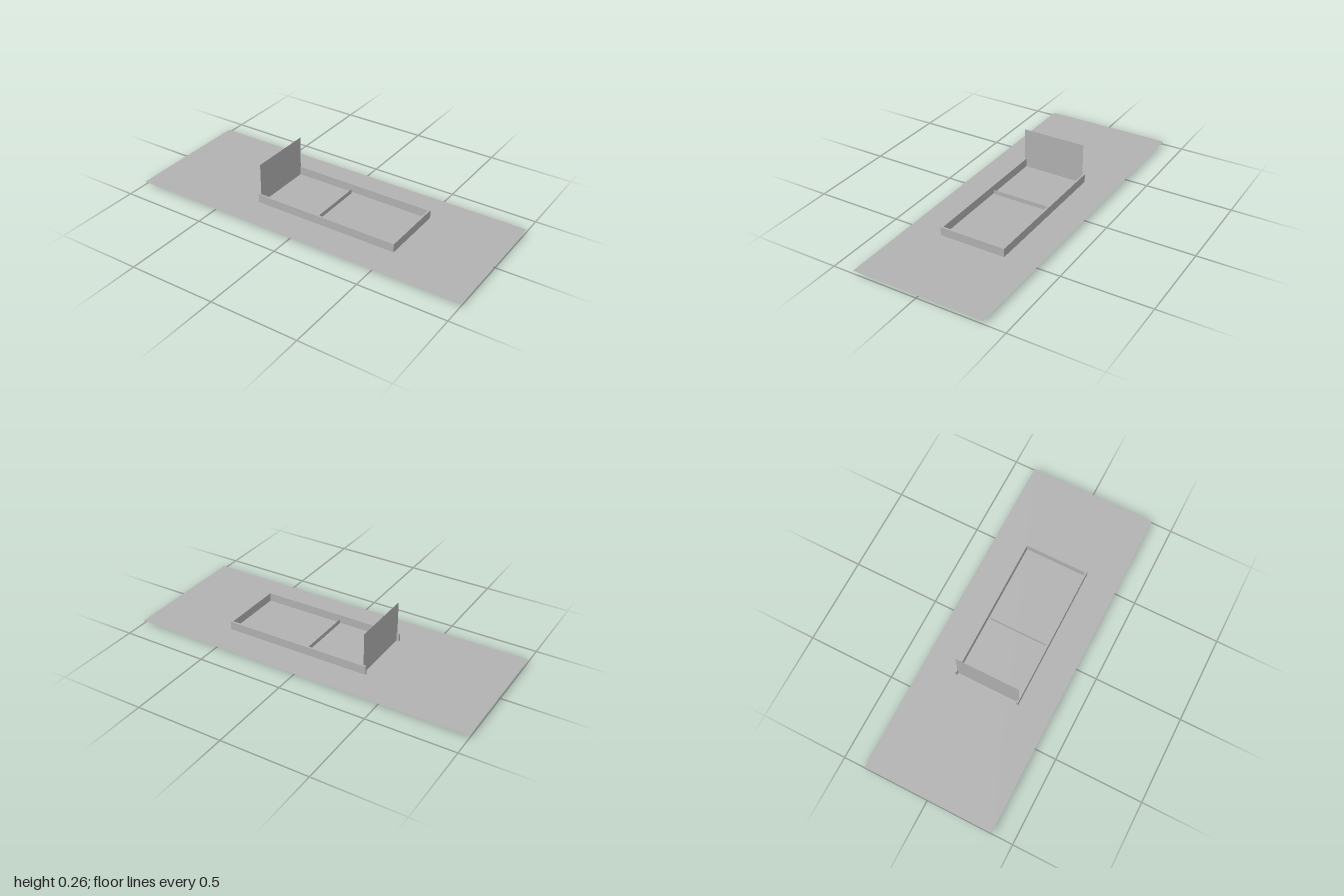
import * as THREE from 'three';

export function createModel() {
  const model = new THREE.Group();
  const grey = new THREE.MeshStandardMaterial({ color: 0xb2b2b2, side: THREE.DoubleSide });
  grey.name = 'plainGrey';
  const floorY = 0.018;

  function add(name, geometry, x, y, z) {
    const mesh = new THREE.Mesh(geometry, grey);
    mesh.name = name;
    mesh.position.set(x, y, z);
    model.add(mesh);
  }

  // box from its extents on each axis
  function bar(name, x0, x1, z0, z1) {
    const height = 0.049;
    add(name, new THREE.BoxGeometry(x1 - x0, height, z1 - z0),
      (x0 + x1) / 2, floorY + height / 2, (z0 + z1) / 2);
  }

  // upright sheet across the model, facing along x
  function sheet(name, x, y0, y1, z0, z1) {
    add(name, new THREE.PlaneGeometry(z1 - z0, y1 - y0).rotateY(Math.PI / 2),
      x, (y0 + y1) / 2, (z0 + z1) / 2);
  }

  // flat ground sheet
  add('groundSheet', new THREE.PlaneGeometry(2, 0.756).rotateX(-Math.PI / 2), 0, floorY, 0);

  // low U-shaped kerb
  bar('frontKerb', -0.332, 0.525, 0.179, 0.19);
  bar('backKerb', -0.332, 0.525, -0.194, -0.183);
  bar('endKerb', 0.514, 0.525, -0.183, 0.179);

  // tall end wall and the low divider that passes through the ground
  sheet('endWall', -0.316, floorY, 0.256, -0.186, 0.187);
  sheet('divider', 0.04, 0, 0.043, -0.172, 0.175);

  return model;
}
